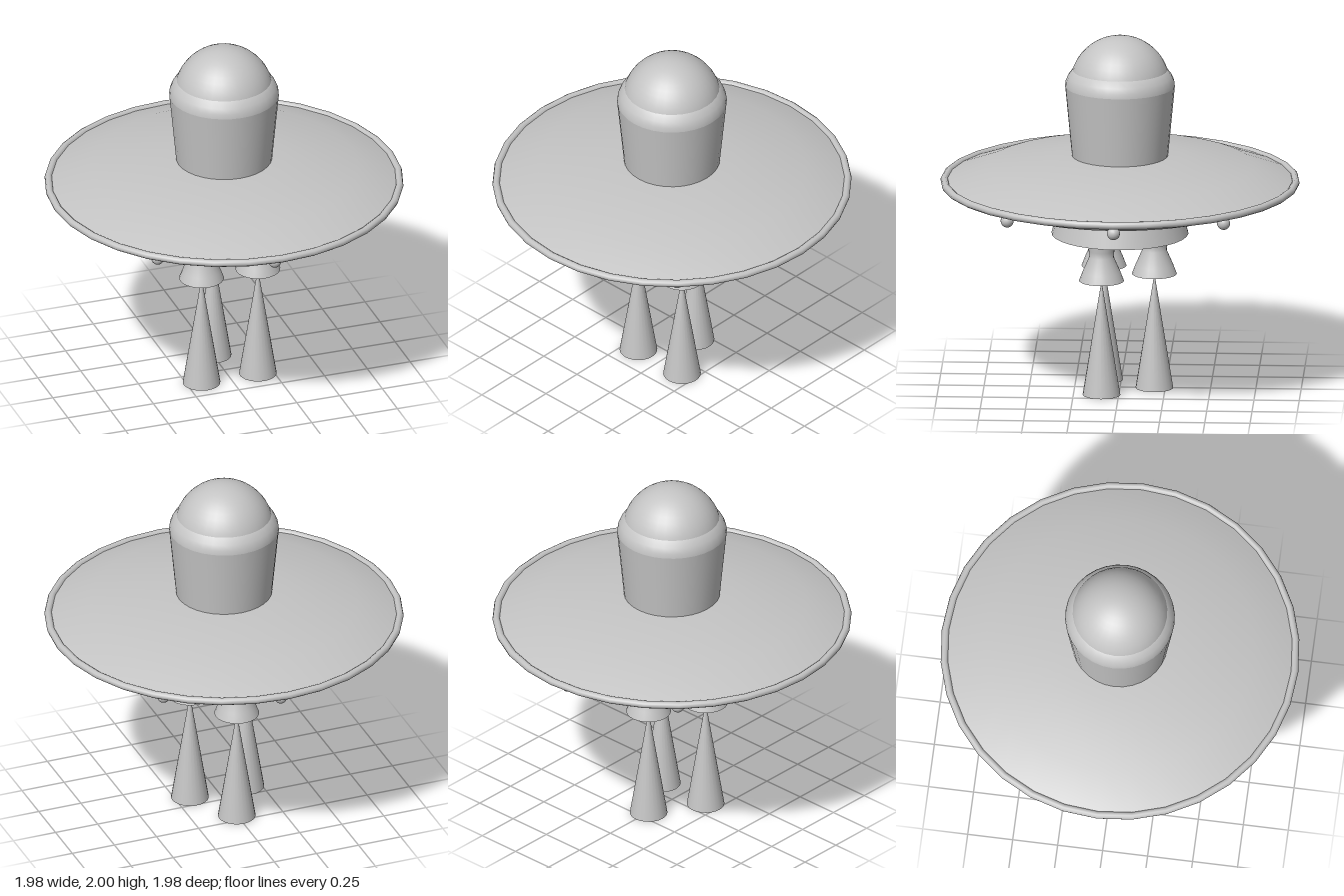
import * as THREE from 'three';

export function createModel() {
  const grey = new THREE.MeshStandardMaterial({ color: 0xc4c4c4 });
  grey.name = 'plain grey';
  const model = new THREE.Group();
  model.name = 'flyingSaucer';

  const add = (parent, name, geometry, x = 0, y = 0, z = 0) => {
    const mesh = new THREE.Mesh(geometry, grey);
    mesh.name = name;
    mesh.position.set(x, y, z);
    parent.add(mesh);
    return mesh;
  };
  // Surface of revolution from [radius, height] pairs, listed bottom to top
  const lathe = (points, sides = 32) =>
    new THREE.LatheGeometry(points.map(([r, y]) => new THREE.Vector2(r, y)), sides);

  // Saucer: upper and lower shells meeting under the rim
  add(model, 'lowerHull', lathe([[0, 1.02], [0.34, 1.02], [0.74, 1.085], [0.97, 1.175]]));
  add(model, 'upperHull', lathe([[0.97, 1.175], [0.74, 1.262], [0.34, 1.325], [0, 1.325]]));
  add(model, 'rim', new THREE.TorusGeometry(0.97, 0.021, 10, 32), 0, 1.175).rotation.x = Math.PI / 2;

  // Cabin with rounded shoulder and dome
  add(model, 'cabin', new THREE.CylinderGeometry(0.303, 0.265, 0.4, 32), 0, 1.52);
  add(model, 'shoulder', lathe([[0.303, 1.72], [0.3, 1.745], [0.288, 1.775], [0.262, 1.81], [0.22, 1.835]]));
  add(model, 'dome', new THREE.SphereGeometry(0.276, 32, 12, 0, Math.PI * 2, 0, Math.PI / 2), 0, 1.724);

  // Flared engine housing below the hull
  add(model, 'engineHousing', new THREE.CylinderGeometry(0.34, 0.378, 0.14, 32), 0, 0.95);

  // Ring of eight lights
  for (let i = 0; i < 8; i++) {
    const a = (i * Math.PI) / 4;
    add(model, 'light', new THREE.SphereGeometry(0.036, 16, 12),
      0.845 * Math.cos(a), 1.098, 0.845 * Math.sin(a));
  }

  // Three thrusters: two at the front, one at the back
  for (const degrees of [30, 150, 270]) {
    const a = THREE.MathUtils.degToRad(degrees);
    const thruster = new THREE.Group();
    thruster.name = 'thruster';
    thruster.position.set(0.19 * Math.cos(a), 0, 0.19 * Math.sin(a));
    add(thruster, 'nozzle', lathe([[0.124, 0.65], [0.105, 0.7], [0.068, 0.785], [0.071, 0.82], [0.077, 0.89]], 24));
    add(thruster, 'nozzleBase', new THREE.CircleGeometry(0.124, 24), 0, 0.65).rotation.x = Math.PI / 2;
    add(thruster, 'flame', new THREE.ConeGeometry(0.104, 0.65, 24), 0, 0.325).rotation.x = 0;
    model.add(thruster);
  }
  return model;
}
